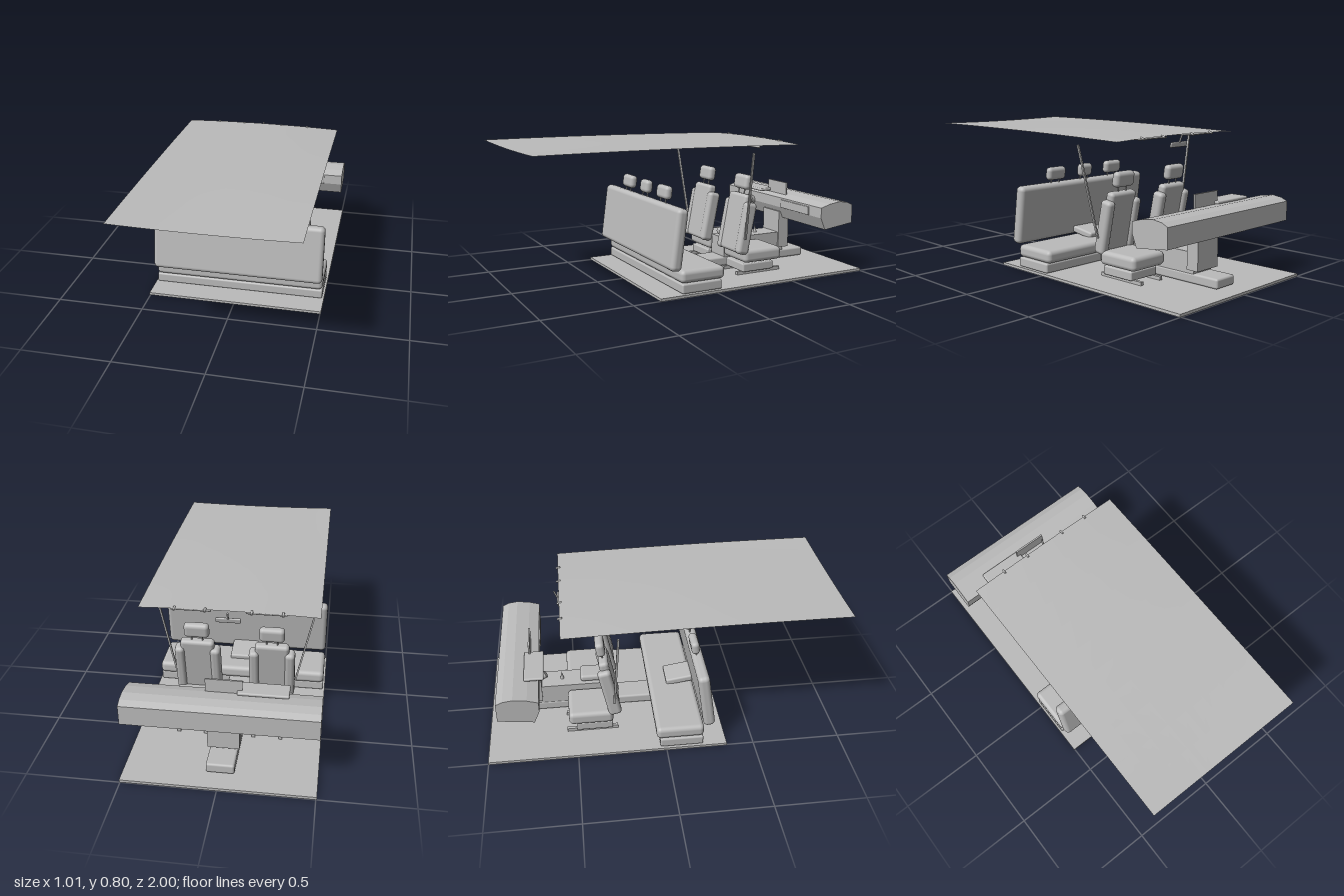
import * as THREE from 'three';
import { RoundedBoxGeometry } from 'three/addons/geometries/RoundedBoxGeometry.js';

export function createModel() {
  const model = new THREE.Group();
  model.name = 'carInterior';
  const grey = new THREE.MeshStandardMaterial({ color: 0xbbbbbb });
  grey.name = 'plainGrey';
  grey.side = THREE.DoubleSide;

  const add = (name, geo, x = 0, y = 0, z = 0, tilt = 0, parent = model) => {
    const mesh = new THREE.Mesh(geo, grey);
    mesh.name = name;
    mesh.position.set(x, y, z);
    mesh.rotation.x = tilt;
    parent.add(mesh);
    return mesh;
  };
  // Box given by its extents on each axis
  const box = (name, [x0, x1], [y0, y1], [z0, z1], parent = model) =>
    add(name, new THREE.BoxGeometry(x1 - x0, y1 - y0, z1 - z0),
      (x0 + x1) / 2, (y0 + y1) / 2, (z0 + z1) / 2, 0, parent);
  // Padded box given by size and centre
  const pad = (name, size, [x, y, z], r, tilt = 0, parent = model) =>
    add(name, new RoundedBoxGeometry(...size, 4, r), x, y, z, tilt, parent);
  // Round rod between two points
  const rod = (name, a, b, r, parent = model) => {
    const p = new THREE.Vector3(...a), q = new THREE.Vector3(...b);
    const mesh = add(name, new THREE.CylinderGeometry(r, r, p.distanceTo(q), 12), 0, 0, 0, 0, parent);
    mesh.position.copy(p).lerp(q, 0.5);
    mesh.quaternion.setFromUnitVectors(new THREE.Vector3(0, 1, 0), q.sub(p).normalize());
    return mesh;
  };

  // Floor
  box('floor', [-0.505, 0.505], [0, 0.015], [-1, 0.345]);

  // Gently warped headliner sheet
  const roofGeo = new THREE.PlaneGeometry(0.94, 1.55, 8, 10).rotateX(-Math.PI / 2);
  const pos = roofGeo.attributes.position;
  for (let i = 0; i < pos.count; i++) {
    const u = pos.getX(i) / 0.47, v = pos.getZ(i) / 0.775;
    pos.setY(i, 0.796 - 0.006 * v * v + 0.0065 * v * u * u - 0.0015 * (1 - v) * u * u);
  }
  roofGeo.computeVertexNormals();
  add('roofLining', roofGeo, 0, 0, 0.225);

  // Sun visors with clips
  for (const s of [-1, 1]) {
    pad('sunVisor', [0.21, 0.006, 0.1], [s * 0.195, 0.781, -0.5], 0.003);
    for (const x of [0.12, 0.28]) rod('visorClip', [s * x, 0.782, -0.56], [s * x, 0.79, -0.535], 0.006);
  }

  // Rear-view mirror
  pad('mirror', [0.132, 0.03, 0.012], [0, 0.738, -0.552], 0.006, -0.25);
  rod('mirrorStem', [0, 0.745, -0.556], [0, 0.79, -0.575], 0.005);

  // Headrest on two posts
  const headrest = (w, h, d, x, y, z, tilt, parent) => {
    pad('headrest', [w, h, d], [x, y, z], 0.022, tilt, parent);
    for (const s of [-1, 1])
      rod('headrestPost', [x + s * 0.03, y - h / 2 - 0.035, z + 0.012], [x + s * 0.03, y, z], 0.004, parent);
  };

  // Rear bench
  const bench = new THREE.Group();
  bench.name = 'rearBench';
  model.add(bench);
  pad('benchBase', [0.99, 0.055, 0.245], [0, 0.044, 0.088], 0.01, 0, bench);
  pad('benchCushion', [0.99, 0.072, 0.27], [0, 0.108, 0.08], 0.025, 0, bench);
  pad('benchBack', [0.99, 0.338, 0.066], [0, 0.31, 0.222], 0.025, -0.135, bench);
  pad('benchArmrest', [0.16, 0.04, 0.16], [0, 0.162, 0.13], 0.012, -0.15, bench);
  headrest(0.1, 0.076, 0.046, 0, 0.533, 0.186, -0.13, bench);
  for (const s of [-1, 1]) headrest(0.132, 0.076, 0.046, s * 0.231, 0.533, 0.186, -0.13, bench);

  // Front seats
  for (const s of [-1, 1]) {
    const seat = new THREE.Group();
    seat.name = 'frontSeat';
    seat.position.x = s * 0.208;
    model.add(seat);
    pad('seatBase', [0.2, 0.05, 0.21], [0, 0.055, -0.395], 0.008, 0, seat);
    pad('seatCushion', [0.25, 0.078, 0.255], [0, 0.127, -0.413], 0.025, 0, seat);
    pad('seatBack', [0.19, 0.345, 0.055], [0, 0.315, -0.3], 0.02, -0.19, seat);
    for (const t of [-1, 1]) {
      pad('seatBolster', [0.055, 0.305, 0.075], [t * 0.1, 0.292, -0.302], 0.022, -0.2, seat);
      box('seatRail', [t * 0.075 - 0.01, t * 0.075 + 0.01], [0.015, 0.034], [-0.555, -0.26], seat);
    }
    headrest(0.14, 0.086, 0.05, 0, 0.552, -0.343, -0.15, seat);

    // Seat belt strap running up to the pillar
    const a = new THREE.Vector3(s * 0.34, 0.235, -0.28), b = new THREE.Vector3(s * 0.455, 0.745, -0.252);
    const belt = add('seatBelt', new THREE.BoxGeometry(0.009, a.distanceTo(b), 0.012));
    belt.position.copy(a).lerp(b, 0.5);
    belt.quaternion.setFromUnitVectors(new THREE.Vector3(0, 1, 0), b.sub(a).normalize());
  }

  // Centre tunnel, console, armrest and gear lever
  pad('tunnel', [0.15, 0.055, 1.08], [0, 0.044, -0.345], 0.012);
  box('console', [-0.075, 0.075], [0.07, 0.187], [-0.73, -0.3]);
  pad('consoleArmrest', [0.12, 0.04, 0.14], [0, 0.21, -0.39], 0.015);
  box('centreStack', [-0.085, 0.085], [0.09, 0.32], [-0.765, -0.692]);
  add('gearLever', new THREE.ConeGeometry(0.012, 0.05, 12), 0, 0.21, -0.57);

  // Dashboard extruded across the cabin
  const profile = [[0.69, 0.35], [0.72, 0.28], [0.917, 0.305], [0.917, 0.413],
    [0.88, 0.43], [0.825, 0.438], [0.75, 0.428], [0.69, 0.41]];
  const dash = new THREE.Shape(profile.map(([z, y]) => new THREE.Vector2(z, y)));
  const dashGeo = new THREE.ExtrudeGeometry(dash, { depth: 1.01, bevelEnabled: false });
  dashGeo.rotateY(Math.PI / 2).translate(-0.505, 0, 0);
  add('dashboard', dashGeo);
  pad('gloveBox', [0.28, 0.05, 0.008], [0.25, 0.375, -0.688], 0.003);

  // Screen, instrument hood and steering column
  box('screen', [-0.098, 0.093], [0.4, 0.5], [-0.745, -0.735]);
  pad('instrumentHood', [0.265, 0.018, 0.11], [-0.205, 0.437, -0.715], 0.008);
  rod('steeringColumn', [-0.205, 0.375, -0.652], [-0.205, 0.35, -0.7], 0.02);

  return model;
}
